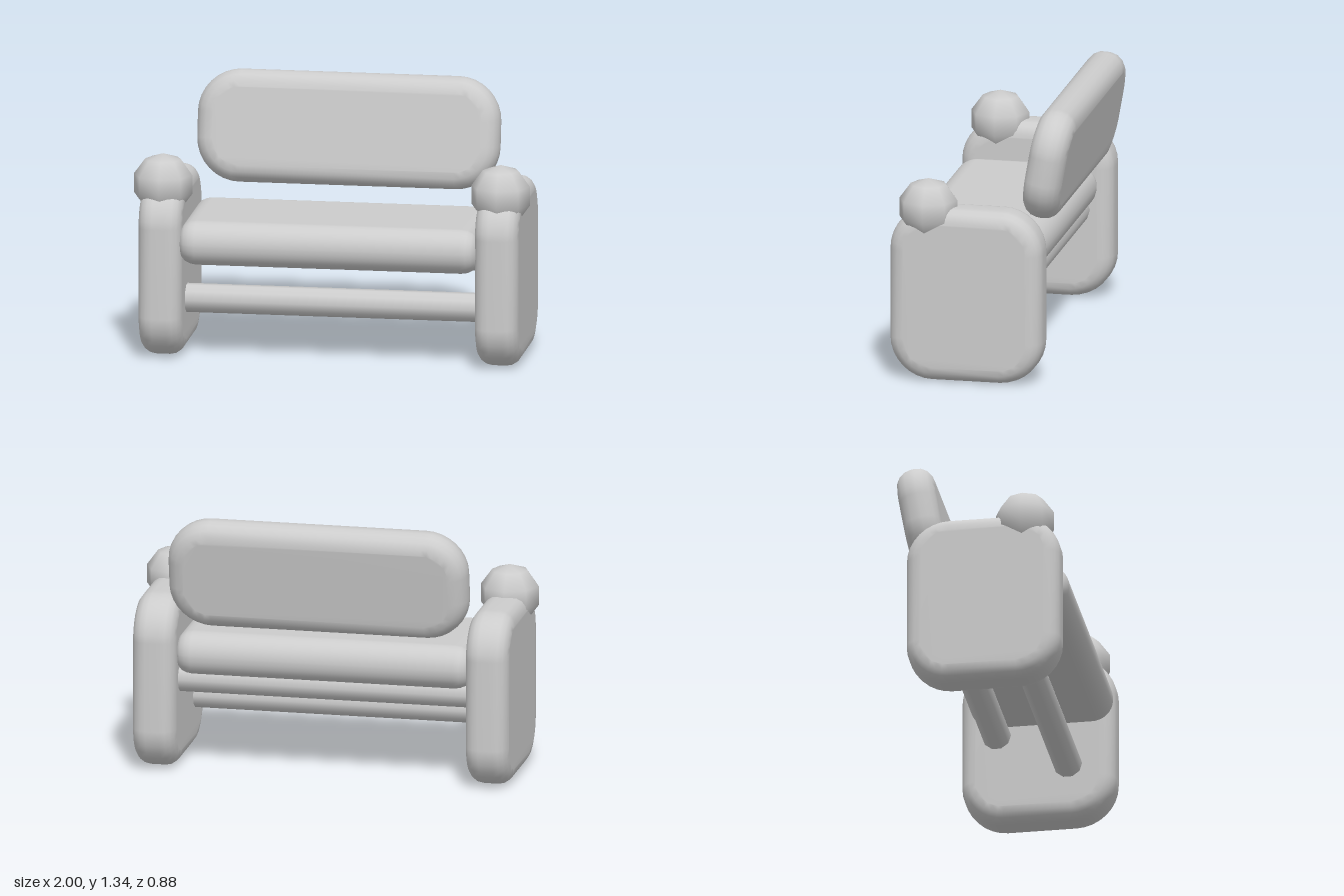
import * as THREE from 'three';
import { mergeVertices } from 'three/addons/utils/BufferGeometryUtils.js';

// Cushion-like slab: rounded rectangle w x h in XY, thickness d along Z,
// with softened rims and smooth normals.
function softSlab(w, h, d, radius, bevel, bevelDepth = bevel) {
  const r = radius - bevel;
  const x = w / 2 - radius, y = h / 2 - radius;
  const shape = new THREE.Shape();
  shape.absarc(x, y, r, 0, Math.PI / 2, false);
  shape.absarc(-x, y, r, Math.PI / 2, Math.PI, false);
  shape.absarc(-x, -y, r, Math.PI, Math.PI * 1.5, false);
  shape.absarc(x, -y, r, Math.PI * 1.5, Math.PI * 2, false);
  const depth = d - 2 * bevelDepth;
  const geo = new THREE.ExtrudeGeometry(shape, {
    depth, curveSegments: 4, bevelEnabled: true,
    bevelSize: bevel, bevelThickness: bevelDepth, bevelSegments: 4,
  });
  geo.translate(0, 0, -depth / 2);
  geo.deleteAttribute('uv');
  geo.deleteAttribute('normal');
  const smooth = mergeVertices(geo, 1e-4);
  smooth.computeVertexNormals();
  return smooth;
}

export function createModel() {
  const group = new THREE.Group();
  group.name = 'bench';
  const grey = new THREE.MeshStandardMaterial({ color: 0xcccccc });
  grey.name = 'light grey';

  const add = (name, geo, x, y, z) => {
    const mesh = new THREE.Mesh(geo, grey);
    mesh.name = name;
    mesh.position.set(x, y, z);
    group.add(mesh);
    return mesh;
  };

  // Side panels with a ball on each front corner
  const panelGeo = softSlab(0.78, 0.89, 0.22, 0.22, 0.075).rotateY(Math.PI / 2);
  const ballGeo = new THREE.SphereGeometry(0.155, 8, 5);
  for (const [side, s] of [['left', 1], ['right', -1]]) {
    add(side + 'SidePanel', panelGeo, s * 0.85, 0.445, 0.045);
    add(side + 'ArmBall', ballGeo, s * 0.853, 0.873, 0.248);
  }

  // Seat, its profile running from side to side
  const seatGeo = softSlab(0.72, 0.225, 1.5, 0.11, 0.06, 0.08).rotateY(Math.PI / 2);
  add('seat', seatGeo, 0, 0.598, 0.08);

  // Backrest, leaning backwards
  const back = add('backrest', softSlab(1.53, 0.565, 0.19, 0.22, 0.085), 0, 1.056, -0.312);
  back.rotation.x = -0.175;

  // Cross rails between the panels
  const railGeo = new THREE.CylinderGeometry(0.073, 0.073, 1.52, 10).rotateZ(Math.PI / 2);
  add('frontRail', railGeo, 0, 0.283, 0.2);
  add('backRail', railGeo, 0, 0.463, -0.16);

  return group;
}
